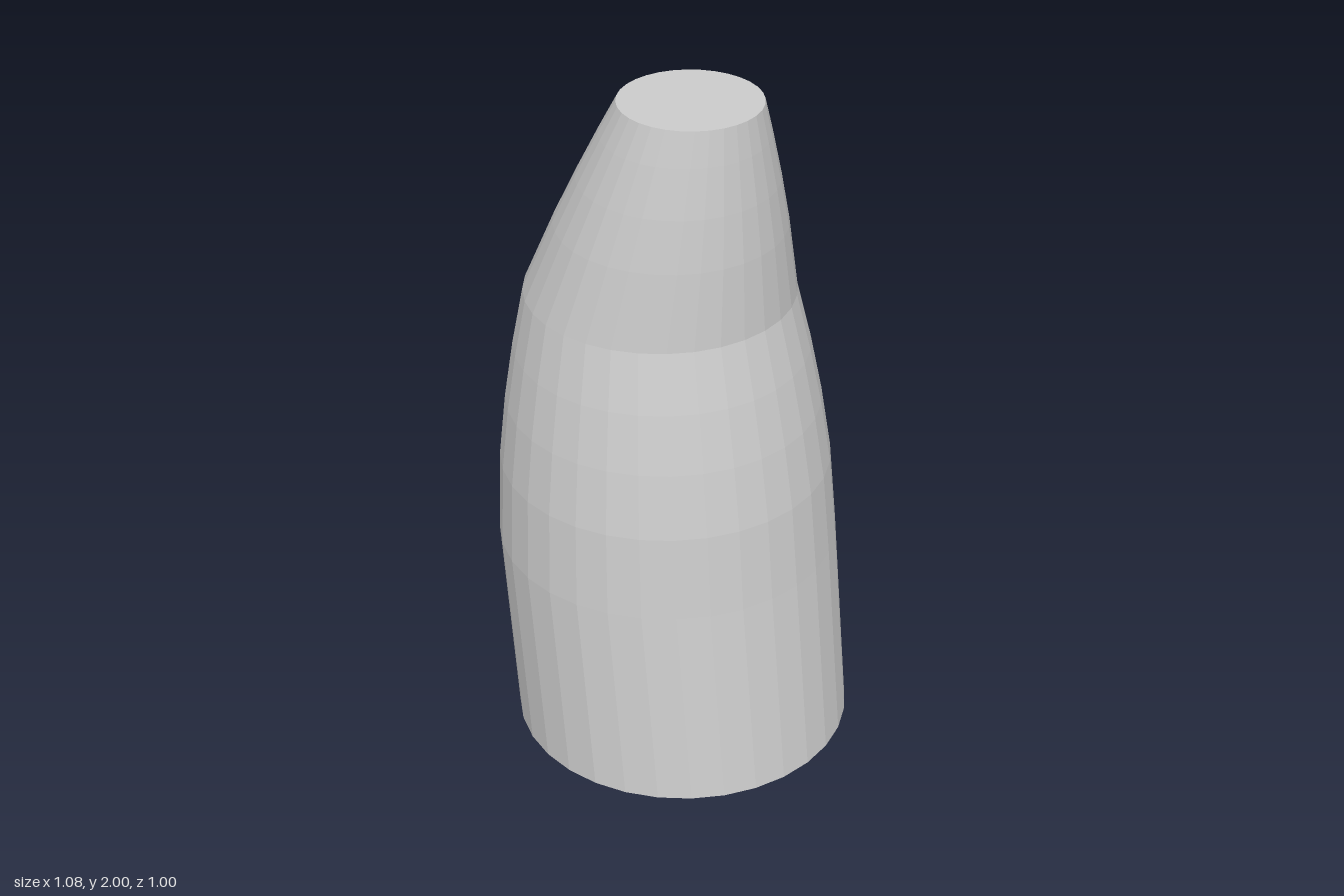
import * as THREE from 'three';

export function createModel() {
  const group = new THREE.Group();
  // Ring heights, and the bent centre line the rings follow
  const heights = [0, 0.6, 0.85, 1.04, 1.21, 1.38, 1.61, 1.76, 1.9, 2];
  const spine = [[0, 0.035], [0.6, -0.04], [1.38, -0.075], [2, 0.065]];
  const sides = 32;

  const centreAt = (y) => {
    const i = Math.max(1, spine.findIndex(([h]) => y <= h));
    const [y0, x0] = spine[i - 1], [y1, x1] = spine[i];
    return x0 + ((x1 - x0) * (y - y0)) / (y1 - y0);
  };
  // Straight below, tapering in a curve above
  const radiusAt = (y) => 0.5 - 0.3 * Math.pow(Math.max(0, (y - 0.6) / 1.4), 1.7);

  // Faceted wall and end caps: move the rows of a plain cylinder
  const rows = heights.length - 1;
  const geometry = new THREE.CylinderGeometry(1, 1, rows, sides, rows);
  const pos = geometry.attributes.position;
  for (let i = 0; i < pos.count; i++) {
    const y = heights[Math.round(pos.getY(i) + rows / 2)];
    const r = radiusAt(y);
    pos.setXYZ(i, centreAt(y) + pos.getX(i) * r, y, pos.getZ(i) * r);
  }
  geometry.computeVertexNormals();

  const body = new THREE.Mesh(
    geometry,
    new THREE.MeshStandardMaterial({ color: 0xcccccc, flatShading: true })
  );
  body.name = 'bentTaperedBody';
  group.add(body);
  return group;
}
